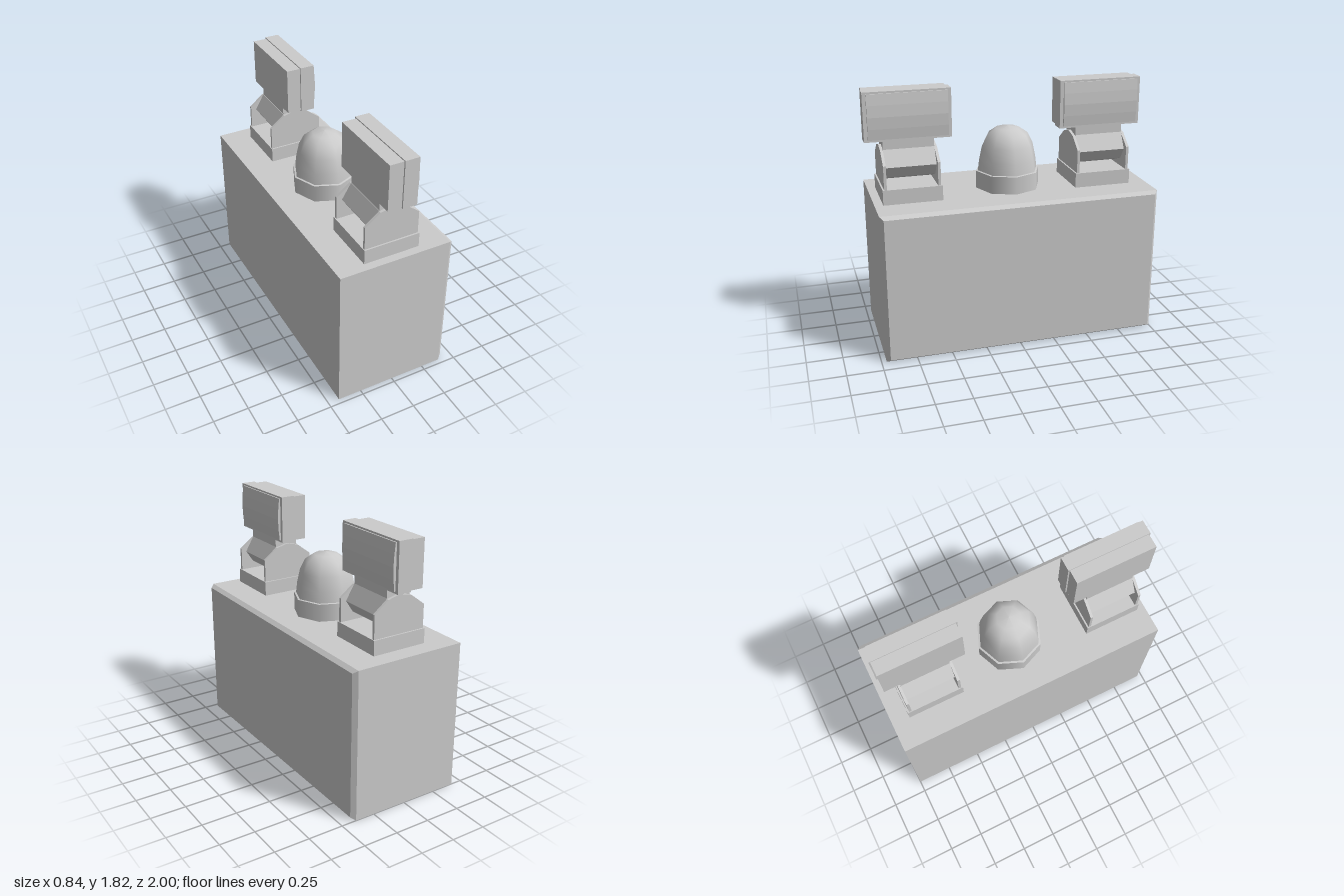
import * as THREE from 'three';

const material = new THREE.MeshStandardMaterial({ color: 0xcccccc });
const CX = -0.017; // shared centre line of the parts on top

function mesh(name, geometry, x = 0, y = 0, z = 0) {
  const m = new THREE.Mesh(geometry, material);
  m.name = name;
  m.position.set(x, y, z);
  return m;
}

// Box given by its x, y and z ranges
function box(name, [x0, x1], [y0, y1], [z0, z1]) {
  return mesh(name, new THREE.BoxGeometry(x1 - x0, y1 - y0, z1 - z0),
    (x0 + x1) / 2, (y0 + y1) / 2, (z0 + z1) / 2);
}

// Outline in x/y extruded along z from z0 to z1
function slab(name, points, z0, z1) {
  const shape = new THREE.Shape(points.map(([x, y]) => new THREE.Vector2(x, y)));
  const geometry = new THREE.ExtrudeGeometry(shape, { depth: z1 - z0, bevelEnabled: false });
  return mesh(name, geometry, 0, 0, z0);
}

// Half outline (going up on +x) mirrored about the centre line
function symmetric(half) {
  return [
    ...half.map(([x, y]) => [CX + x, y]),
    ...half.filter(([x]) => x > 0).reverse().map(([x, y]) => [CX - x, y]),
  ];
}

function lathe(name, profile) {
  const points = profile.map(([r, y]) => new THREE.Vector2(r, y));
  return mesh(name, new THREE.LatheGeometry(points, 8), CX, 0, CX);
}

// Cabinet with a chamfered border around its +x face
function createCabinet() {
  const geometry = new THREE.BoxGeometry(0.84, 1.065, 1.965, 2, 1, 1).toNonIndexed();
  const p = geometry.attributes.position;
  for (let i = 0; i < p.count; i++) {
    const x = p.getX(i);
    if (Math.abs(x) < 0.01) p.setX(i, 0.39);
    if (x > 0.41) {
      p.setY(i, p.getY(i) - Math.sign(p.getY(i)) * 0.021);
      p.setZ(i, p.getZ(i) - Math.sign(p.getZ(i)) * 0.025);
    }
  }
  geometry.computeVertexNormals();
  return mesh('cabinet', geometry, 0, 0.5325, -0.0175);
}

// Floodlight on a swivel bracket
function createFloodlight(name, z) {
  const group = new THREE.Group();
  group.name = name;
  group.position.z = z;

  group.add(box('bracketBase', [-0.218, 0.185], [1.06, 1.17], [-0.205, 0.205]));

  const cheek = symmetric([[0.195, 1.165], [0.195, 1.335], [0.09, 1.415], [0, 1.437]]);
  for (const s of [-1, 1]) {
    const [a, b] = [s * 0.175, s * 0.194];
    group.add(slab('bracketCheek', cheek, Math.min(a, b), Math.max(a, b)));
  }

  // Faceted pivot between the cheeks, with the neck rising from it
  const pivot = symmetric([[0, 1.19], [0.1, 1.228], [0.155, 1.31], [0.09, 1.42], [0, 1.43]]);
  group.add(slab('pivot', pivot, -0.175, 0.175));
  group.add(box('neck', [CX - 0.088, CX + 0.09], [1.38, 1.485], [-0.175, 0.175]));

  // Lamp head: rear housing, front frame and bowed lens
  group.add(box('lampHousing', [-0.116, -0.017], [1.485, 1.81], [-0.287, 0.287]));
  group.add(box('lampFrame', [-0.017, 0.085], [1.48, 1.818], [-0.298, 0.298]));
  const lens = [[0.08, 1.495], [0.094, 1.495], [0.102, 1.57], [0.106, 1.65],
    [0.102, 1.73], [0.094, 1.805], [0.08, 1.805]];
  group.add(slab('lampLens', lens, -0.273, 0.273));
  return group;
}

export function createModel() {
  const model = new THREE.Group();
  model.name = 'lightUnit';
  model.add(createCabinet());
  model.add(createFloodlight('frontFloodlight', 0.701));
  model.add(createFloodlight('rearFloodlight', -0.669));

  // Central beacon: collar, rim and rounded dome
  const beacon = new THREE.Group();
  beacon.name = 'beacon';
  beacon.add(lathe('beaconCollar', [[0.231, 1.06], [0.231, 1.19]]));
  beacon.add(lathe('beaconRim', [[0.231, 1.19], [0.205, 1.195]]));
  beacon.add(lathe('beaconDome', [[0.218, 1.185], [0.208, 1.27], [0.186, 1.37],
    [0.148, 1.445], [0.085, 1.49], [0, 1.503]]));
  model.add(beacon);
  return model;
}
